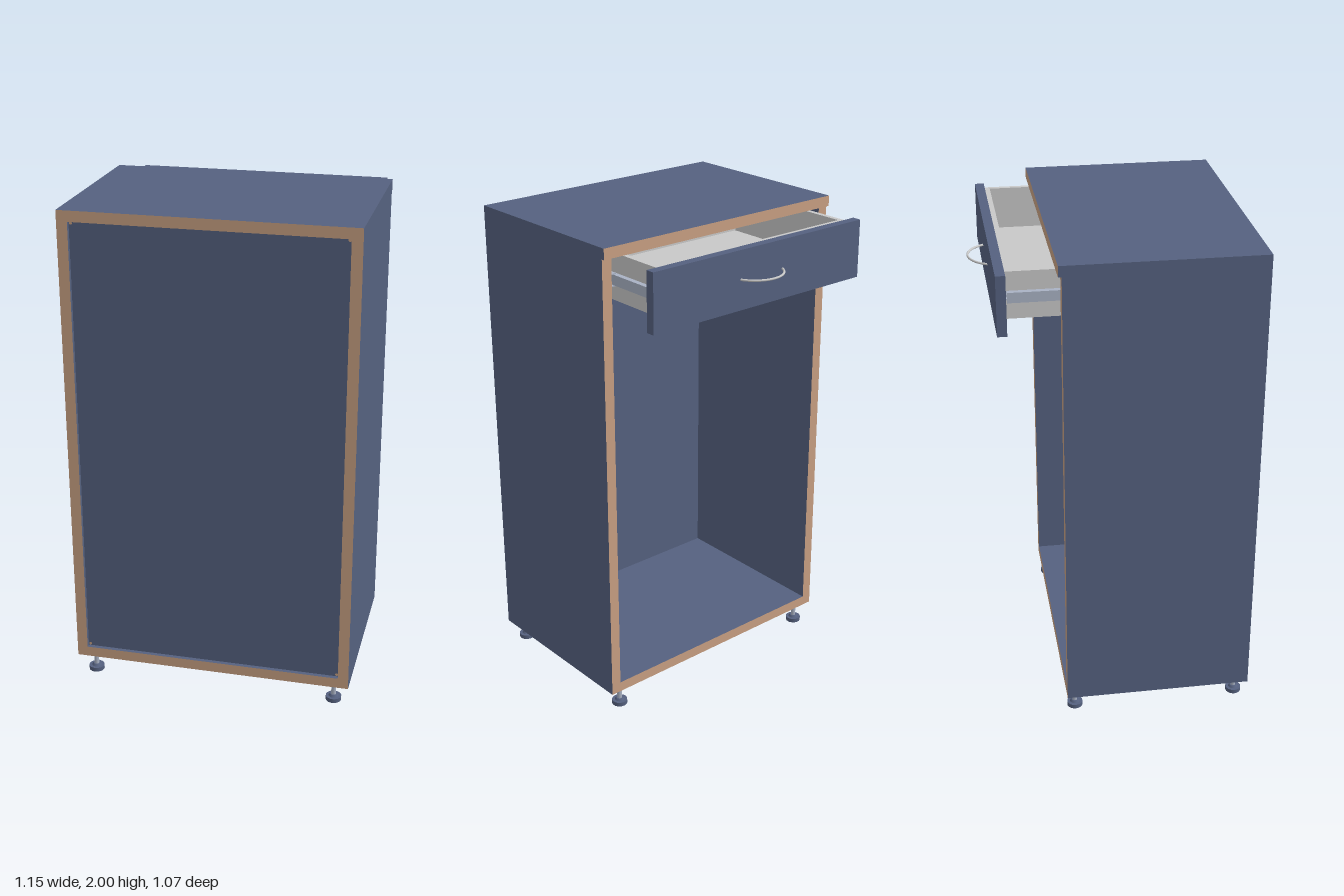
import * as THREE from 'three';

const mat = (name, color) => {
  const m = new THREE.MeshStandardMaterial({ color });
  m.name = name;
  return m;
};

export function createModel() {
  const blue = mat('blue laminate', 0x55617f);
  const wood = mat('raw wood edge', 0xc8a082);
  const grey = mat('light grey', 0xc8c8c8);
  const steel = mat('rail steel', 0xa9b2c4);
  const root = new THREE.Group();
  root.name = 'cabinet';

  const add = (parent, name, geometry, material, x = 0, y = 0, z = 0) => {
    const mesh = new THREE.Mesh(geometry, material);
    mesh.name = name;
    mesh.position.set(x, y, z);
    parent.add(mesh);
    return mesh;
  };
  // box given by its minimum and maximum on each axis
  const box = (parent, name, material, x0, x1, y0, y1, z0, z1) =>
    add(parent, name, new THREE.BoxGeometry(x1 - x0, y1 - y0, z1 - z0), material,
      (x0 + x1) / 2, (y0 + y1) / 2, (z0 + z1) / 2);
  const group = (name) => {
    const g = new THREE.Group();
    g.name = name;
    root.add(g);
    return g;
  };

  // carcass boards: laminated faces, bare wood on the front and back edges
  const W = 0.575, T = 0.043, Y0 = 0.085, Y1 = 2, Z0 = -0.23, Z1 = 0.535;
  const board = [blue, blue, blue, blue, wood, wood];
  const carcass = group('carcass');
  box(carcass, 'topBoard', board, -W, W, Y1 - T, Y1, Z0 - 0.013, Z1);
  box(carcass, 'bottomBoard', board, -W, W, Y0, Y0 + T, Z0, Z1);
  box(carcass, 'leftBoard', board, W - T, W, Y0 + T, Y1 - T, Z0, Z1);
  box(carcass, 'rightBoard', board, -W, -W + T, Y0 + T, Y1 - T, Z0, Z1);
  box(carcass, 'rearPanel', blue, -W + T, W - T, Y0 + T, Y1 - T, 0.507, 0.518);
  for (const sx of [-1, 1]) for (const y of [Y0 + T + 0.008, Y1 - T - 0.008]) {
    add(carcass, 'cornerPin', new THREE.CircleGeometry(0.006, 12), wood, sx * 0.524, y, 0.519);
  }

  // pulled-out drawer
  const drawer = group('drawer');
  const D = 0.48, t = 0.02, yb = 1.77, yt = 1.953, zf = -0.425, zr = 0.21;
  box(drawer, 'drawerFront', blue, -0.527, 0.527, 1.72, 1.955, -0.462, zf);
  box(drawer, 'drawerBottom', grey, -D, D, yb, yb + 0.012, zf, zr);
  box(drawer, 'drawerFrontWall', grey, -D + t, D - t, yb + 0.012, yt, zf, zf + t);
  box(drawer, 'drawerRearWall', grey, -D + t, D - t, yb + 0.012, yt, zr - t, zr);
  for (const sx of [-1, 1]) {
    const a = sx * D, b = sx * (D - t);
    box(drawer, 'drawerSide', grey, Math.min(a, b), Math.max(a, b), yb + 0.012, yt, zf, zr);
  }

  // bowed handle
  const R = 0.117, half = Math.asin(0.11 / R);
  const handle = add(drawer, 'handle', new THREE.TorusGeometry(R, 0.0045, 10, 32, 2 * half), grey, 0, 1.84, -0.4135);
  handle.geometry.rotateZ(Math.PI / 2 - half);
  handle.rotation.x = -Math.PI / 2;

  // telescopic rails: flat web with two lips, nested in one another
  const channel = (parent, name, sx, xWeb, xLip, y0, y1, z0, z1) => {
    const w = 0.004;
    const put = (part, xa, xb, ya, yb2) =>
      box(parent, name + part, steel, Math.min(sx * xa, sx * xb), Math.max(sx * xa, sx * xb), ya, yb2, z0, z1);
    const inward = Math.sign(xLip - xWeb) * w;
    put('Web', xWeb, xWeb + inward, y0, y1);
    put('LowerLip', xWeb, xLip, y0, y0 + w);
    put('UpperLip', xWeb, xLip, y1 - w, y1);
  };
  const rails = group('rails');
  for (const sx of [-1, 1]) {
    channel(rails, 'fixedRail', sx, 0.532, 0.5, 1.838, 1.888, -0.215, 0.43);
    channel(rails, 'middleRail', sx, 0.511, 0.49, 1.843, 1.883, -0.42, 0.24);
    channel(rails, 'drawerRail', sx, 0.48, 0.5, 1.852, 1.874, zf, zr);
  }

  // levelling feet
  for (const x of [-0.51, 0.51]) for (const z of [-0.193, 0.49]) {
    const foot = group('foot');
    foot.position.set(x, 0, z);
    add(foot, 'footPad', new THREE.CylinderGeometry(0.032, 0.032, 0.018, 24), blue, 0, 0.009, 0);
    add(foot, 'footCollar', new THREE.CylinderGeometry(0.014, 0.02, 0.008, 20), blue, 0, 0.022, 0);
    add(foot, 'footStem', new THREE.CylinderGeometry(0.01, 0.01, 0.067, 16), steel, 0, 0.0515, 0);
    add(foot, 'footFlange', new THREE.CylinderGeometry(0.018, 0.018, 0.006, 20), steel, 0, 0.082, 0);
  }
  return root;
}
